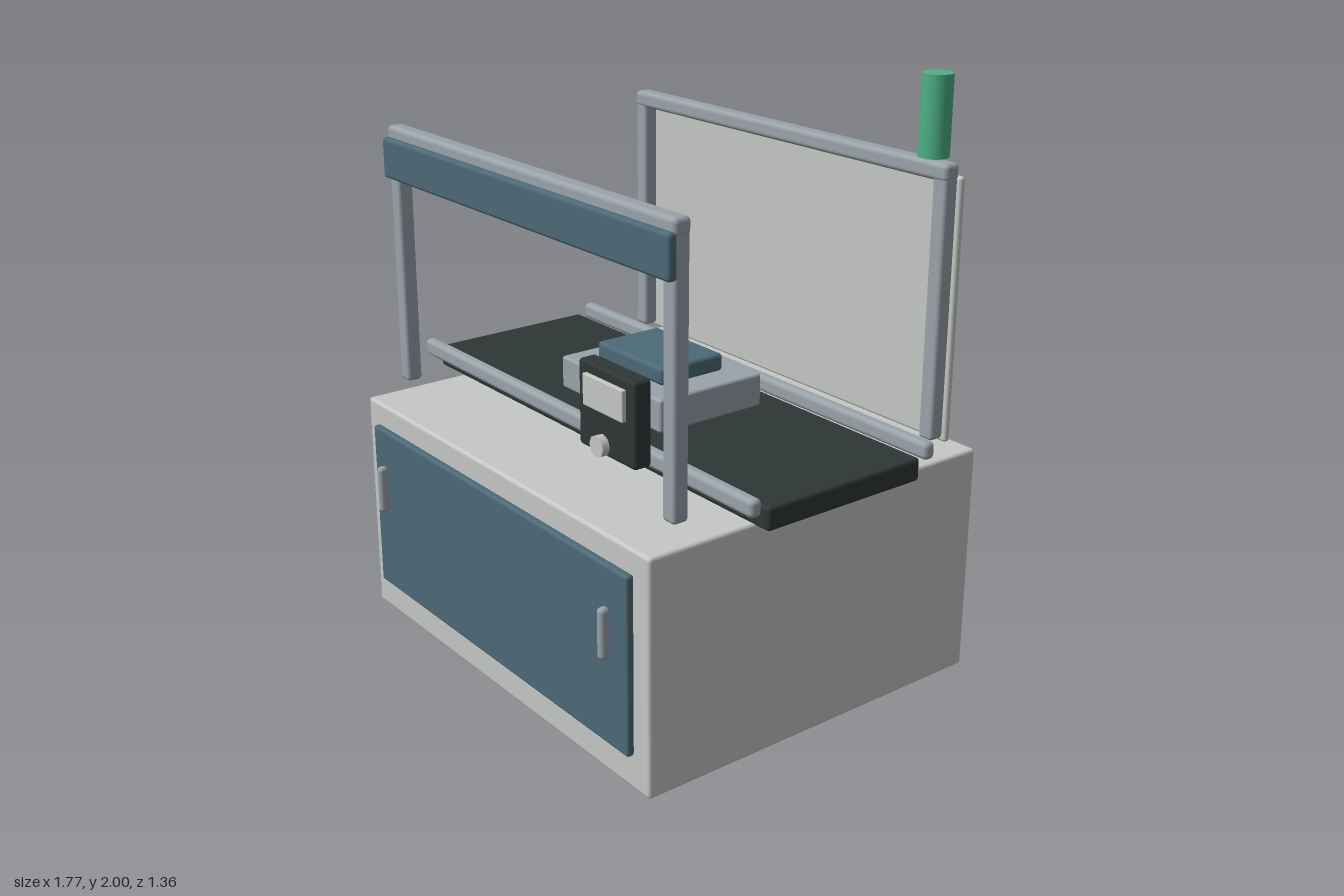
import * as THREE from 'three';
import { RoundedBoxGeometry } from 'three/addons/geometries/RoundedBoxGeometry.js';

function material(name, color) {
  const m = new THREE.MeshStandardMaterial({ color });
  m.name = name;
  return m;
}

export function createModel() {
  const model = new THREE.Group();
  model.name = 'conveyorStation';

  const light = material('lightGrey', 0xc6c8c5);
  const steel = material('steelGrey', 0x9aa3aa);
  const teal = material('slateBlue', 0x4c6a78);
  const dark = material('charcoal', 0x2f3636);
  const green = material('signalGreen', 0x4cb185);

  // Rounded box given by its extents on each axis
  function box(name, mat, [x0, x1], [y0, y1], [z0, z1], radius = 0.01) {
    const geo = new RoundedBoxGeometry(x1 - x0, y1 - y0, z1 - z0, 3, radius);
    const mesh = new THREE.Mesh(geo, mat);
    mesh.position.set((x0 + x1) / 2, (y0 + y1) / 2, (z0 + z1) / 2);
    mesh.name = name;
    model.add(mesh);
    return mesh;
  }

  // Upright cylinder centred on the given point
  function cylinder(name, mat, r, h, x, y, z, sides = 24) {
    const mesh = new THREE.Mesh(new THREE.CylinderGeometry(r, r, h, sides), mat);
    mesh.position.set(x, y, z);
    mesh.name = name;
    model.add(mesh);
    return mesh;
  }

  // Cabinet with door, handles and feet
  box('cabinet', light, [-0.79, 0.79], [0.04, 0.81], [-0.68, 0.62], 0.012);
  box('cabinetDoor', teal, [-0.72, 0.72], [0.155, 0.735], [0.618, 0.645], 0.01);
  for (const s of [-1, 1]) {
    const x = s * 0.635;
    box('doorHandle', steel, [x - 0.015, x + 0.015], [0.45, 0.615], [0.648, 0.683], 0.014);
    for (const z of [0.483, -0.535]) cylinder('foot', dark, 0.062, 0.045, s * 0.635, 0.0225, z);
  }

  // Conveyor belt and side rails
  box('conveyorBelt', dark, [-0.885, 0.885], [0.825, 0.9], [-0.327, 0.273], 0.012);
  for (const z of [0.316, -0.37]) {
    box('sideRail', steel, [-0.885, 0.885], [0.88, 0.937], [z - 0.021, z + 0.021], 0.016);
  }

  // Fixture carried on the belt
  box('fixtureBase', steel, [-0.268, 0.265], [0.9, 1.01], [-0.235, 0.175], 0.01);
  box('fixturePad', teal, [-0.175, 0.171], [1.01, 1.07], [-0.153, 0.097], 0.014);

  // Front and rear gantry frames
  for (const z of [0.483, -0.532]) {
    for (const s of [-1, 1]) {
      const x = s * 0.73;
      box('framePost', steel, [x - 0.028, x + 0.028], [0.865, 1.71], [z - 0.027, z + 0.027], 0.012);
    }
    box('frameBeam', steel, [-0.76, 0.76], [1.686, 1.742], [z - 0.03, z + 0.03], 0.016);
  }
  box('headerPanel', teal, [-0.76, 0.76], [1.57, 1.705], [0.5, 0.533], 0.012);
  box('rearPanel', light, [-0.757, 0.757], [0.845, 1.695], [-0.594, -0.57], 0.01);

  // Control box with screen and knob
  box('controlBox', dark, [0.39, 0.657], [1.01, 1.272], [0.508, 0.568], 0.012);
  box('screen', light, [0.43, 0.618], [1.145, 1.24], [0.566, 0.582], 0.003);
  const knob = cylinder('knob', light, 0.033, 0.024, 0.522, 1.05, 0.59, 8);
  knob.rotation.x = Math.PI / 2;

  // Signal lamp above the rear beam
  cylinder('signalLamp', green, 0.048, 0.25, 0.677, 1.875, -0.532);

  return model;
}
